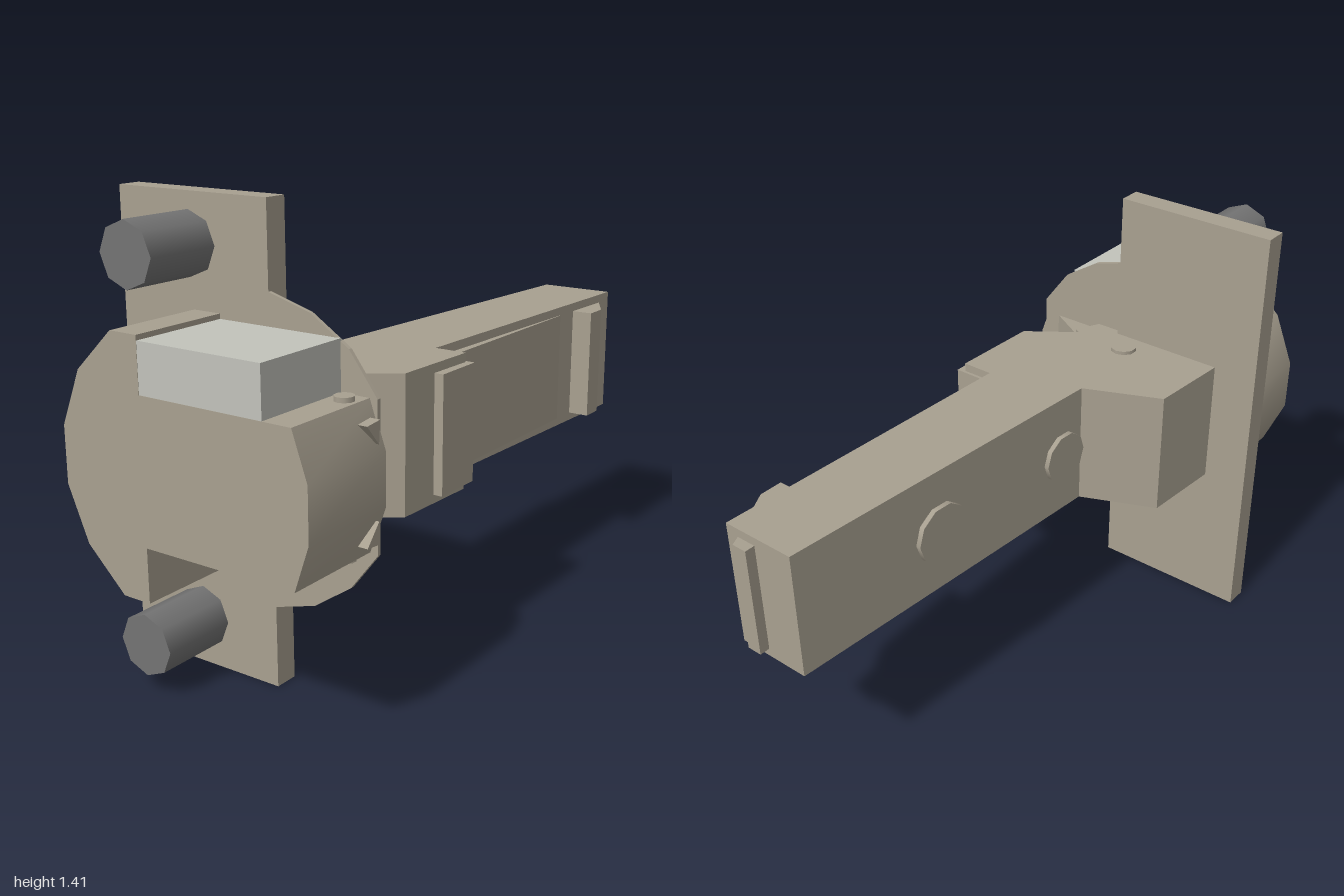
import * as THREE from 'three';
import { toCreasedNormals } from 'three/addons/utils/BufferGeometryUtils.js';

const body = new THREE.MeshStandardMaterial({ color: 0xa8a090 });
const pale = new THREE.MeshStandardMaterial({ color: 0xc2c3bb });
const steel = new THREE.MeshStandardMaterial({ color: 0x737373 });

export function createModel() {
  const model = new THREE.Group();
  const MID = 0.705; // height of the mechanism's axis

  const add = (name, geometry, material = body) => {
    const mesh = new THREE.Mesh(geometry, material);
    mesh.name = name;
    model.add(mesh);
    return mesh;
  };
  const outline = (pts) => new THREE.Shape(pts.map(([a, b]) => new THREE.Vector2(a, b)));
  const extrude = (pts, depth) =>
    new THREE.ExtrudeGeometry(outline(pts), { depth, bevelEnabled: false });
  // Prism from an x-y outline, running along z
  const prismZ = (pts, z0, z1) => extrude(pts, z1 - z0).translate(0, 0, z0);
  // Prism from an x-z outline, running along y
  const prismY = (pts, y0, y1) =>
    extrude(pts.map(([x, z]) => [x, -z]), y1 - y0).rotateX(-Math.PI / 2).translate(0, y0, 0);
  const box = (x0, x1, y0, y1, z0, z1) =>
    new THREE.BoxGeometry(x1 - x0, y1 - y0, z1 - z0)
      .translate((x0 + x1) / 2, (y0 + y1) / 2, (z0 + z1) / 2);

  // Mounting plate with two bolts
  add('mountingPlate', box(-0.46, 0.08, 0, 1.41, 0.605, 0.68));
  for (const y of [0.15, 1.265]) {
    const bolt = new THREE.CylinderGeometry(0.094, 0.094, 0.25, 8).rotateX(Math.PI / 2);
    add('mountingBolt', bolt.translate(-0.2, y, 0.797), steel);
  }

  // Thin flange beside the plate
  add('flange', prismZ([
    [0.08, 0.25], [0.22, 0.29], [0.345, 0.375], [0.435, 0.49],
    [0.435, 0.92], [0.345, 1.04], [0.22, 1.12], [0.08, 1.16],
  ], 0.668, 0.68));

  // Drum housing, cut back above and below on its right half
  add('drum', toCreasedNormals(prismZ([
    [-0.39, 0.79], [-0.39, 0.62], [-0.32, 0.457], [-0.19, 0.335], [-0.095, 0.335],
    [-0.095, 0.495], [0.41, 0.495], [0.457, 0.63], [0.457, 0.785], [0.41, 0.92],
    [-0.095, 0.92], [-0.095, 1.08], [-0.19, 1.08], [-0.32, 0.957],
  ], 0.675, 1), 0.75));
  add('drumInsert', box(-0.095, 0.318, 0.915, 1.065, 0.675, 0.999), pale);

  // Small rivets on the drum and the pivot pin through the arm
  const pin = (name, x, z, r, y0, y1) =>
    add(name, new THREE.CylinderGeometry(r, r, y1 - y0, 10).translate(x, (y0 + y1) / 2, z));
  pin('drumRivet', 0.37, 0.735, 0.029, 0.482, 0.934);
  pin('drumRivet', 0.25, 0.835, 0.029, 0.482, 0.52);
  pin('pivotPin', 0, 0.525, 0.044, 0.485, 0.932);

  // Mirrored triangular catches on the drum's side
  for (const s of [-1, 1]) {
    const catchShape = prismZ(
      [[-0.70, MID + s * 0.17], [-0.757, MID + s * 0.165], [-0.705, MID + s * 0.105]], 0.4, 0.457);
    add('drumCatch', catchShape.rotateY(Math.PI / 2));
  }

  // Wedge between arm and flange
  add('wedgeNose', prismY(
    [[0.08, 0.61], [0.18, 0.55], [0.24, 0.585], [0.2, 0.67], [0.08, 0.67]], 0.525, 0.893));
  add('wedge', prismY([[0.18, 0.552], [0.385, 0.672], [0.18, 0.672]], 0.545, 0.872));

  // Lever arm
  add('arm', prismY([
    [-0.31, 0.61], [-0.29, 0.33], [-0.045, 0.225], [0.04, -0.967], [0.29, -0.967],
    [0.25, 0.12], [0.355, 0.12], [0.345, 0.42], [0.08, 0.61],
  ], 0.498, 0.92));

  // Raised pads on the arm
  const [LOW, HIGH] = [0.525, 0.892];
  add('sidePanel', box(0.2, 0.28, LOW, HIGH, -0.62, 0.14));
  add('sidePad', box(0.27, 0.38, LOW, HIGH, 0.11, 0.28));
  add('tipHook', prismY(
    [[0.24, -0.9], [0.287, -0.9], [0.35, -0.79], [0.35, -0.712], [0.24, -0.712]], LOW, HIGH));
  add('endRib', prismY([[0.18, -0.95], [0.18, -1], [0.23, -1], [0.25, -0.96]], LOW, HIGH));

  // Round caps set flush on the sloping side of the arm
  const slope = Math.atan2(0.085, 1.192);
  for (const [x, z, r] of [[-0.001, -0.42, 0.1], [-0.04, 0.135, 0.087]]) {
    const cap = add('sideCap', new THREE.CylinderGeometry(r, r, 0.03, 10).rotateZ(Math.PI / 2));
    cap.position.set(x, MID, z);
    cap.rotation.y = -slope;
  }

  return model;
}
